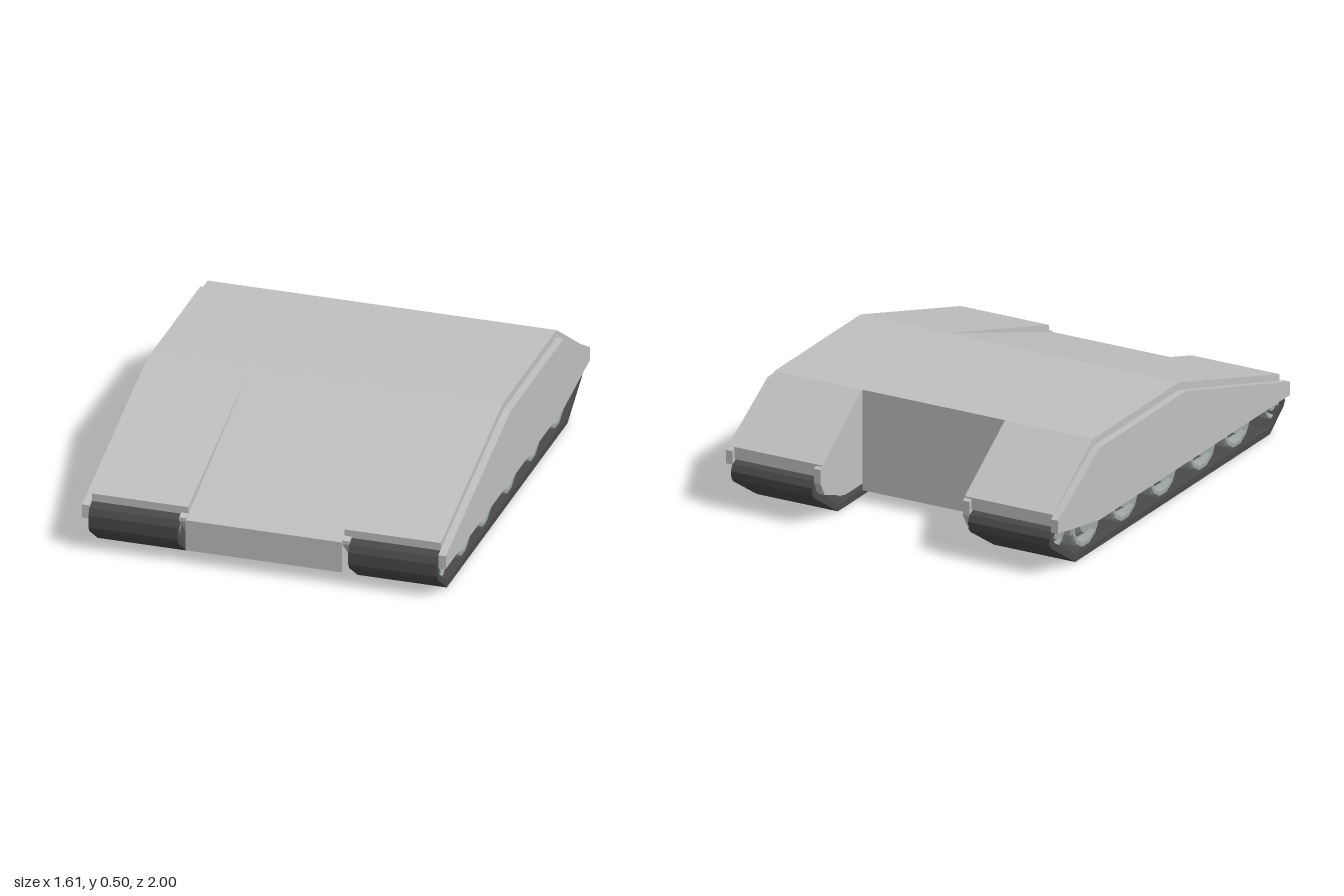
import * as THREE from 'three';

const body = new THREE.MeshStandardMaterial({ name: 'hullGrey', color: 0xc0c0c0 });
const rubber = new THREE.MeshStandardMaterial({ name: 'trackDark', color: 0x4a4a4d });
const steel = new THREE.MeshStandardMaterial({ name: 'wheelGrey', color: 0x9ea5a4 });

const toPoints = (pts) => pts.map(([z, y]) => new THREE.Vector2(z, y));

// Extrude a side profile of [z, y] points across the width from x0 to x1
function slab(name, material, profile, x0, x1, hole) {
  const shape = new THREE.Shape(toPoints(profile));
  if (hole) shape.holes.push(new THREE.Path(toPoints(hole)));
  const geo = new THREE.ExtrudeGeometry(shape, { depth: Math.abs(x1 - x0), bevelEnabled: false });
  geo.rotateY(-Math.PI / 2);
  geo.translate(Math.max(x0, x1), 0, 0);
  const mesh = new THREE.Mesh(geo, material);
  mesh.name = name;
  return mesh;
}

// Faceted road wheel: tyre ring, recessed face and a raised conical hub
function wheel(name, side, z, y, r) {
  const profile = [
    [0, 0.41], [r, 0.41], [r, 0.75], [r * 0.94, 0.76], [r * 0.8, 0.76],
    [r * 0.74, 0.72], [r * 0.68, 0.72], [r * 0.45, 0.76], [0, 0.76],
  ].map(([a, b]) => new THREE.Vector2(a, b));
  const geo = new THREE.LatheGeometry(profile, 12).toNonIndexed();
  geo.computeVertexNormals();
  geo.rotateX(0);
  geo.rotateY(Math.PI / 12);
  geo.rotateZ(-side * Math.PI / 2);
  const mesh = new THREE.Mesh(geo, steel);
  mesh.name = name;
  mesh.position.set(0, y, z);
  return mesh;
}

const HULL = [[0.985, 0.06], [0.985, 0.2], [0.1, 0.505], [-0.63, 0.505], [-0.63, 0.05], [0.93, 0.05]];
const POD = [[0.95, 0.21], [0.95, 0.245], [0.1, 0.505], [-0.63, 0.505], [-0.97, 0.28], [-0.97, 0.225], [-0.85, 0.205]];
const SKIRT = [[0.985, 0.145], [0.985, 0.205], [0.1, 0.472], [-0.63, 0.472], [-0.985, 0.265], [-0.985, 0.205], [-0.63, 0.145]];
const INNER_WALL = [[0.98, 0.19], [0.98, 0.207], [0.1, 0.472], [-0.63, 0.472], [-0.985, 0.265], [-0.985, 0.2],
  [-0.95, 0.14], [-0.78, 0.08], [0.87, 0.08]];
const TRACK = [[0.87, 0], [0.985, 0.085], [1, 0.11], [1, 0.165], [0.985, 0.195], [0.95, 0.21],
  [-0.95, 0.222], [-0.985, 0.208], [-1, 0.18], [-0.995, 0.145], [-0.975, 0.125], [-0.78, 0]];
const TRACK_INSIDE = [[0.86, 0.028], [0.965, 0.105], [0.975, 0.15], [0.94, 0.183],
  [-0.94, 0.194], [-0.972, 0.175], [-0.955, 0.148], [-0.77, 0.028]];

export function createModel() {
  const model = new THREE.Group();
  model.name = 'trackedHull';
  model.add(slab('centralHull', body, HULL, -0.345, 0.345));

  for (const side of [1, -1]) {
    const unit = new THREE.Group();
    unit.name = side > 0 ? 'leftTrackUnit' : 'rightTrackUnit';
    // Armoured covers around the running gear
    unit.add(
      slab('trackCover', body, POD, side * 0.345, side * 0.77),
      slab('outerSkirt', body, SKIRT, side * 0.77, side * 0.803),
      slab('innerWall', body, INNER_WALL, side * 0.344, side * 0.376),
      slab('track', rubber, TRACK, side * 0.377, side * 0.77, TRACK_INSIDE),
    );
    // Running gear
    [0.61, 0.32, -0.015, -0.34, -0.67].forEach((z) => unit.add(wheel('roadWheel', side, z, 0.15, 0.122)));
    unit.add(wheel('frontIdler', side, 0.91, 0.12, 0.065));
    unit.add(wheel('rearSprocket', side, -0.91, 0.168, 0.056));
    model.add(unit);
  }
  return model;
}
